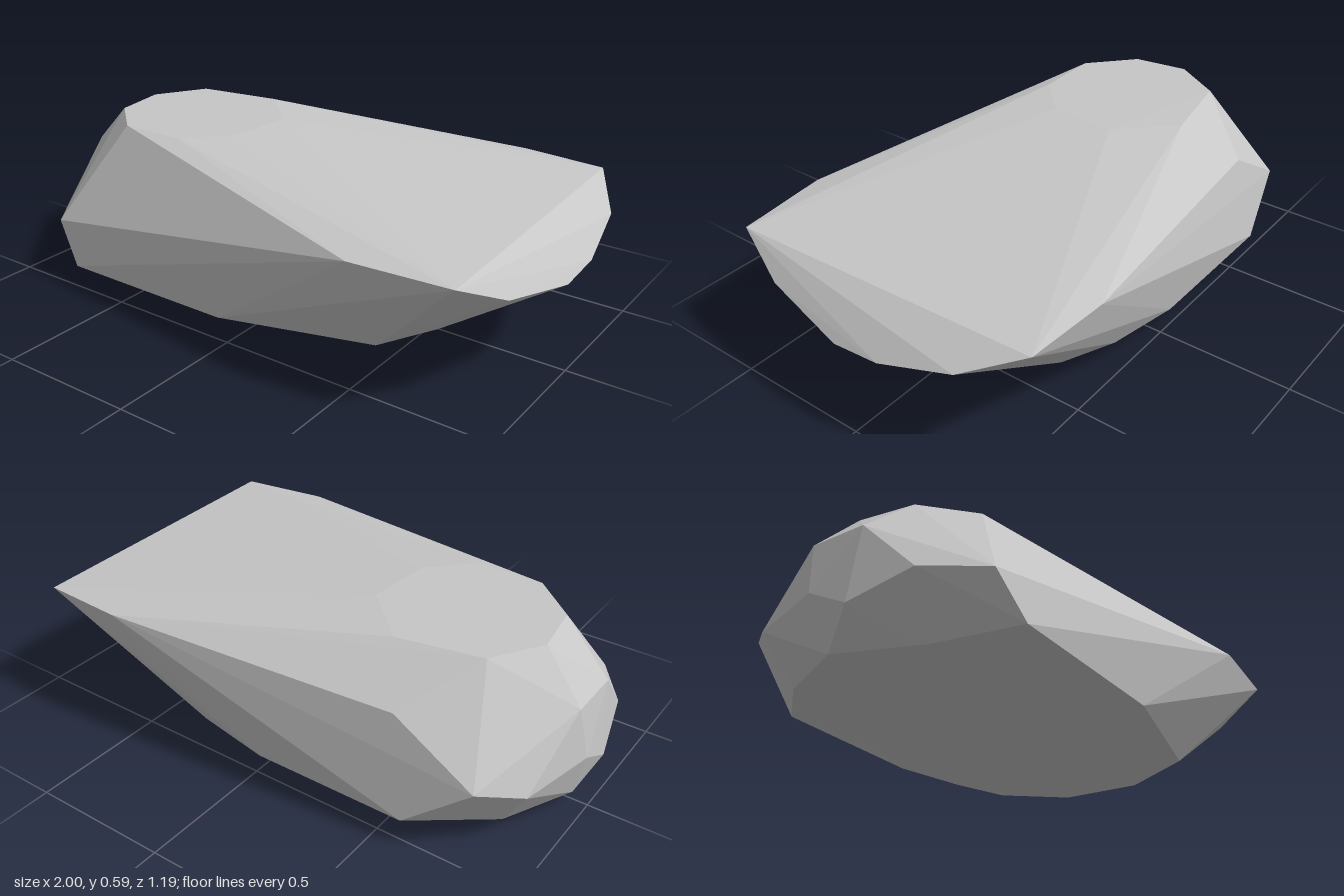
import * as THREE from 'three';
import { ConvexGeometry } from 'three/addons/geometries/ConvexGeometry.js';

// Corner rings of the faceted boulder, [x, y, z]
const crown = [
  [-0.82, 0.59, -0.06], [-0.79, 0.59, 0.14], [-0.63, 0.59, 0.285], [-0.38, 0.59, 0.285],
  [-0.24, 0.59, 0.14], [-0.22, 0.59, -0.11], [-0.41, 0.587, -0.295], [-0.71, 0.59, -0.24],
];
const shoulder = [
  [0.54, 0.49, 0.593], [0.88, 0.485, 0.56], [0.84, 0.487, -0.58], [0.53, 0.49, -0.6], [-0.53, 0.45, -0.475],
];
const nose = [[0.95, 0.39, 0.36], [1, 0.33, 0.05], [1, 0.345, -0.13], [0.955, 0.405, -0.39]];
const bluntEnd = [
  [-0.97, 0.43, 0.1], [-0.97, 0.43, -0.1], [-0.93, 0.22, -0.335], [-0.82, 0.27, -0.475],
  [-1, 0.24, -0.07], [-1, 0.16, 0.08], [-0.95, 0.235, 0.29], [-0.82, 0.235, 0.475],
];
const lowerRim = [
  [-0.71, 0.09, 0.51], [-0.03, 0.09, 0.51], [0.51, 0.1, 0.37], [0.6, 0.08, 0.13], [0.56, 0.073, -0.15],
  [0.43, 0.09, -0.38], [0.25, 0.1, -0.47], [-0.03, 0.09, -0.515], [-0.6, 0.1, -0.525],
  [-0.83, 0.05, -0.28], [-0.95, 0.045, -0.02], [-0.83, 0.05, 0.25],
];
const belly = [
  [-0.45, 0, 0.03], [-0.1, 0.002, 0.05], [0.4, 0.038, 0.05], [-0.2, 0.015, -0.18],
  [-0.25, 0.015, 0.17], [-0.3, 0.043, 0.35], [-0.3, 0.055, -0.41], [-0.72, 0.022, 0.05],
];

export function createModel() {
  const group = new THREE.Group();
  group.name = 'rock';

  const stone = new THREE.MeshStandardMaterial({ color: 0xc6c6c6 });
  stone.name = 'stone grey';

  // Single convex boulder wrapped around the rings, with flat facets
  const corners = [crown, shoulder, nose, bluntEnd, lowerRim, belly]
    .flat()
    .map(([x, y, z]) => new THREE.Vector3(x, y, z));
  const boulder = new THREE.Mesh(new ConvexGeometry(corners), stone);
  boulder.name = 'boulder';
  group.add(boulder);
  return group;
}
